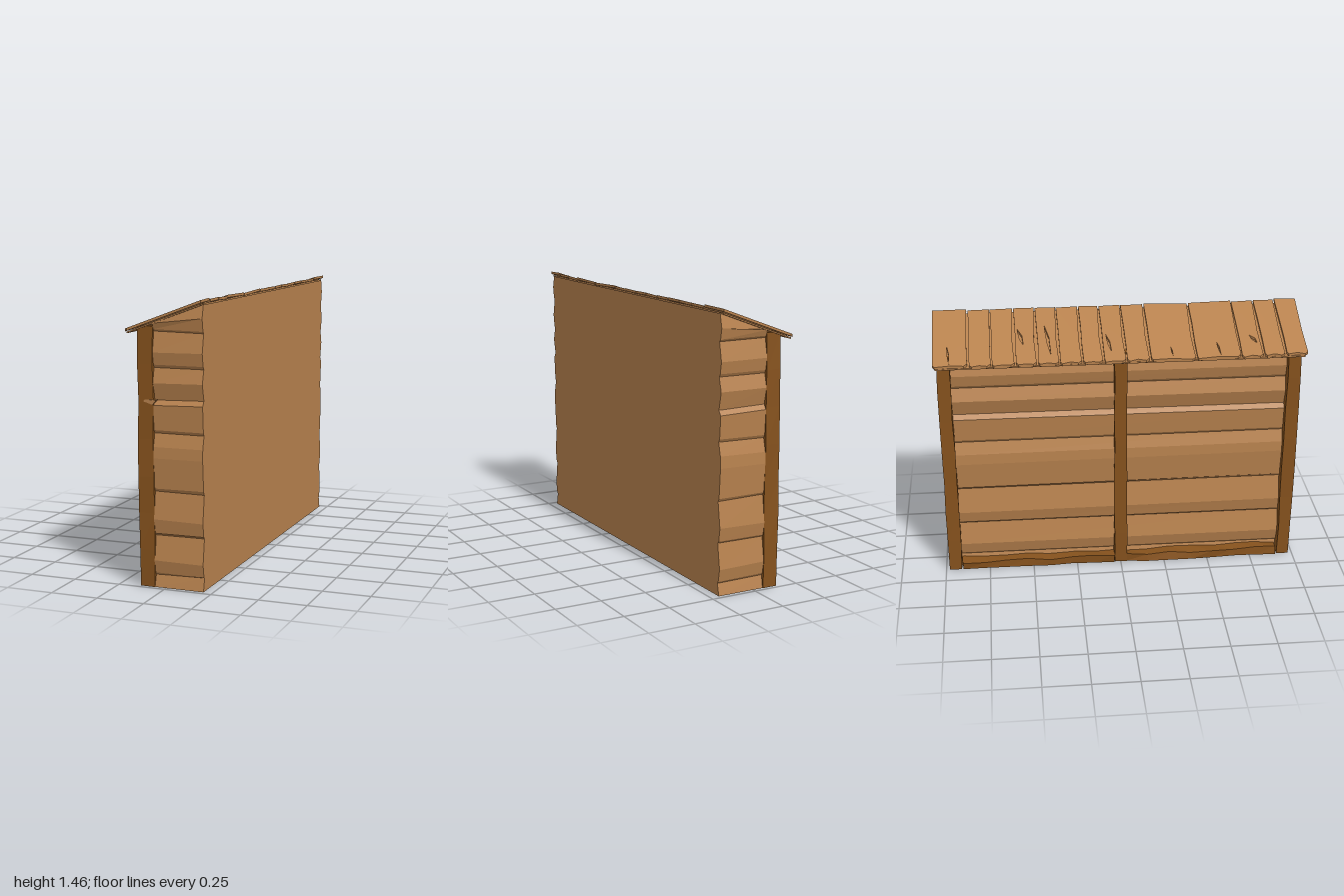
import * as THREE from 'three';

const LIGHT = 0xb8824e, DARK = 0x86521d;
const wood = (color) => {
  const m = new THREE.MeshStandardMaterial({ flatShading: true });
  m.color.set(color);
  return m;
};
const lightWood = wood(LIGHT), darkWood = wood(DARK);

// Repeatable noise in -1..1 from a position
const noise = (a, b = 0, c = 0) => {
  const s = Math.sin(a * 127.1 + b * 311.7 + c * 74.7 + 3.3) * 43758.5453;
  return (s - Math.floor(s)) * 2 - 1;
};
const roofY = (x) => 1.352 + 0.375 * x; // underside of the roof

// Move every vertex by a rule
function warp(geo, rule) {
  const p = geo.attributes.position, v = new THREE.Vector3();
  for (let i = 0; i < p.count; i++) {
    rule(v.fromBufferAttribute(p, i));
    p.setXYZ(i, v.x, v.y, v.z);
  }
  geo.computeVertexNormals();
  return geo;
}
const r3 = (n) => Math.round(n * 1000) / 1000;

// Hand-hewn beam: a box with its edges knocked about
function beam(w, h, d, x, y, z, sy, sz, amount) {
  const g = new THREE.BoxGeometry(w, h, d, 1, sy, sz).translate(x, y, z);
  return warp(g, (v) => {
    const a = r3(v.x), b = r3(v.y), c = r3(v.z);
    v.x += noise(a, b, c) * amount;
    v.z += noise(c, a, b) * amount;
    if (b > 0.01) v.y += noise(b, c, a) * amount;
  });
}

// Board profile, [height, bulge 0..1]: each board swells between two seams
const PROFILE = [
  [0, 0.8], [0.065, 0.1], [0.075, 0.45], [0.14, 1], [0.27, 0.1], [0.28, 0.5], [0.35, 1],
  [0.49, 0.1], [0.505, 0.5], [0.66, 1], [0.72, 0.9], [0.79, 0.1], [0.805, 0.5], [0.93, 0.9],
  [0.955, 0.1], [1.04, 1], [1.115, 0.1], [1.13, 0.5], [1.19, 1], [1.29, 0.1], [1.3, 0.5],
  [1.36, 1], [1.45, 0.2],
];
function siding(inner, low, high, length, turn, offset) {
  const s = new THREE.Shape();
  s.moveTo(inner, 0);
  PROFILE.forEach(([y, b]) => s.lineTo(low + b * (high - low), y));
  s.lineTo(inner, 1.45);
  const g = new THREE.ExtrudeGeometry(s, { depth: length, bevelEnabled: false });
  g.rotateY(turn).translate(...offset);
  return warp(g, (v) => {
    // boards run slightly out of level and stop under the roof
    if (v.y > 0.01) v.y += 0.004 * noise(Math.floor(v.y * 14), Math.sign(v.x - 0.1), Math.sign(v.z));
    v.y = Math.min(v.y, roofY(v.x) + 0.003);
  });
}

// Splits in the roof boards: [z, x start, x end, half width]
const SPLITS = [
  [-0.915, -0.19, -0.06, 0.006], [-0.82, -0.1, 0.1, 0.007], [-0.53, -0.07, 0.05, 0.015],
  [-0.385, -0.14, 0.07, 0.013], [-0.22, -0.12, 0.12, 0.009], [-0.06, -0.13, -0.01, 0.011],
  [0.135, -0.14, -0.03, 0.009], [0.272, -0.18, -0.11, 0.004], [0.525, -0.19, -0.09, 0.007],
  [0.72, -0.11, -0.05, 0.018], [0.865, -0.14, -0.02, 0.006],
];
const EDGES = [-1, -0.81, -0.69, -0.565, -0.445, -0.33, -0.21, -0.095, 0.025, 0.15, 0.4, 0.64, 0.76, 0.88, 1];

function roofBoard(z0, z1, i) {
  const gap = i % 3 === 0 ? 0.005 : 0.002;
  const a = z0 + (z0 > -1 ? gap : 0), b = z1 - (z1 < 1 ? gap : 0);
  const nick = 0.008 + 0.008 * Math.abs(noise(i, 1));
  const s = new THREE.Shape([
    [0.203, a], [0.06, a + 0.003], [-0.08, a + 0.006 * Math.abs(noise(i, 2))], [-0.19, a + 0.003],
    [-0.205, a + nick], [-0.198 + 0.004 * noise(i, 3), (a + b) / 2],
    [-0.205, b - 0.018], [-0.19, b], [-0.03, b - 0.008 * Math.abs(noise(i, 4))], [0.203, b],
  ].map(([x, z]) => new THREE.Vector2(x, -z)));
  SPLITS.filter(([z, , , w]) => z - w > a + 0.007 && z + w < b - 0.009).forEach(([z, x0, x1, w]) => {
    s.holes.push(new THREE.Path([
      [x0, z + w], [x0 * 0.6 + x1 * 0.4, z - w * 0.3], [x1, z - w], [x0 * 0.4 + x1 * 0.6, z + w * 0.6],
    ].map(([x, zz]) => new THREE.Vector2(x, -zz))));
  });
  const g = new THREE.ExtrudeGeometry(s, { depth: 0.014, bevelEnabled: false }).rotateX(-Math.PI / 2);
  const lift = i === 0 || z1 === 1 ? 0.005 : 0.002 * noise(i, 5);
  const tilt = 0.035 * noise(i, 6);
  return warp(g, (v) => {
    v.y += roofY(v.x) + 0.008 + lift + tilt * (v.z - (a + b) / 2);
  });
}

export function createModel() {
  const model = new THREE.Group();
  const add = (name, geo, mat, parent = model) => {
    const m = new THREE.Mesh(geo, mat);
    m.name = name;
    parent.add(m);
    return m;
  };
  const group = (name) => {
    const g = new THREE.Group();
    g.name = name;
    model.add(g);
    return g;
  };

  // Solid core with the flat wall on +x
  const core = new THREE.Shape([[-0.06, 0], [0.203, 0], [0.203, roofY(0.203)], [-0.06, roofY(-0.06)]]
    .map((p) => new THREE.Vector2(...p)));
  add('flatWall', new THREE.ExtrudeGeometry(core, { depth: 1.91, bevelEnabled: false }).translate(0, 0, -0.955), lightWood);

  // Board siding on both ends and on the post side
  add('frontSiding', siding(0.955, 0.96, 0.982, 0.263, -Math.PI / 2, [0.203, 0, 0]), lightWood);
  add('backSiding', siding(0.955, 0.96, 0.982, 0.263, Math.PI / 2, [-0.06, 0, 0]), lightWood);
  add('longSiding', siding(0.06, 0.073, 0.1, 1.9, Math.PI, [0, 0, 0.95]), lightWood);

  // Three posts, with sill beams between them
  const frame = group('frame');
  [-0.945, 0, 0.945].forEach((z) =>
    add('post', beam(0.08, 1.32, 0.07, -0.1, 0.66, z, 7, 1, 0.004), darkWood, frame));
  [-0.47, 0.47].forEach((z) =>
    add('sill', beam(0.068, 0.045, 0.87, -0.108, 0.0225, z, 1, 7, 0.008), darkWood, frame));

  // Splinter of a siding board lapping over the front post
  const splinter = new THREE.Shape([[-0.11, 0.945], [-0.06, 0.93], [-0.04, 0.955], [-0.1, 0.955]]
    .map((p) => new THREE.Vector2(...p)));
  add('splinter', new THREE.ExtrudeGeometry(splinter, { depth: 0.025, bevelEnabled: false }).translate(0, 0, 0.962), lightWood);

  // Roof: thin deck below a row of split, uneven boards
  const roof = group('roof');
  add('roofDeck', warp(new THREE.BoxGeometry(0.394, 0.008, 1.97), (v) => { v.y += roofY(v.x) + 0.004; }), lightWood, roof);
  for (let i = 0; i < EDGES.length - 1; i++)
    add('roofBoard', roofBoard(EDGES[i], EDGES[i + 1], i), lightWood, roof);

  return model;
}
